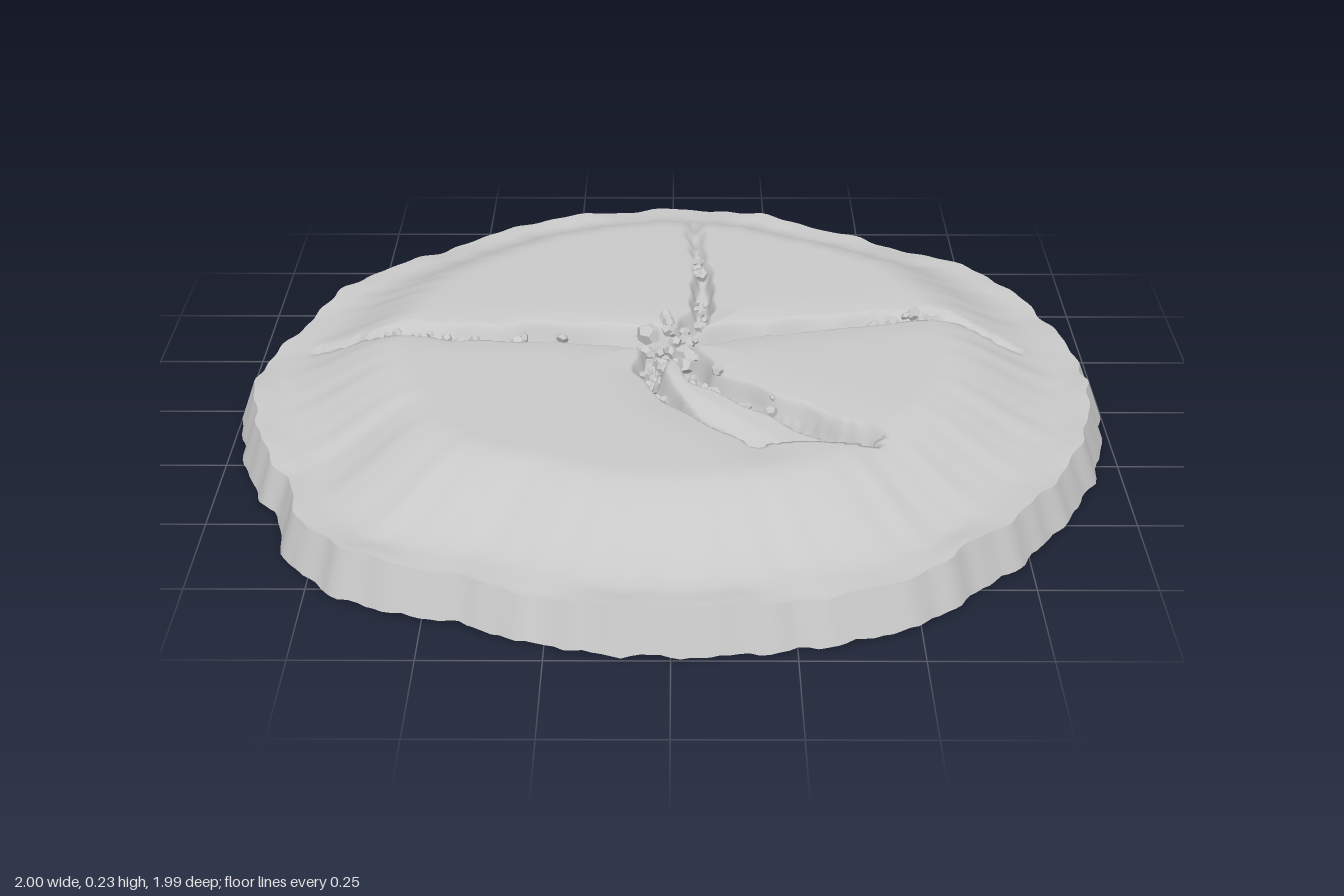
import * as THREE from 'three';
import { mergeGeometries } from 'three/addons/utils/BufferGeometryUtils.js';

const SEG = 320, RINGS = 115;
const { smoothstep, clamp, lerp } = THREE.MathUtils;

// Outline at ground level, as x, z points
const OUTLINE = [[0.99, 0.05], [0.95, 0.27], [0.83, 0.52], [0.64, 0.75], [0.5, 0.88], [0.1, 0.99], [-0.2, 0.97],
  [-0.4, 0.89], [-0.7, 0.77], [-0.81, 0.64], [-0.84, 0.5], [-0.93, 0.33], [-0.995, 0], [-0.91, -0.3],
  [-0.87, -0.42], [-0.59, -0.74], [-0.25, -0.93], [0, -0.995], [0.13, -0.98], [0.43, -0.83], [0.6, -0.73],
  [0.78, -0.61], [0.92, -0.36], [0.98, -0.15]]
  .map(([x, z]) => ({ a: (Math.atan2(z, x) + 2 * Math.PI) % (2 * Math.PI), r: Math.hypot(x, z) }))
  .sort((p, q) => p.a - q.a);

// Cracks: path in x, z; half width and depth from start to end
const CRACKS = [
  { path: [[0, 0], [-0.3, -0.035], [-0.5, -0.025], [-0.68, -0.055], [-0.84, -0.11]], w: [0.055, 0.014], d: [0.085, 0.02], stones: 34 },
  { path: [[0, 0], [0.2, -0.055], [0.45, -0.1], [0.65, -0.125], [0.82, -0.08]], w: [0.045, 0.014], d: [0.085, 0.02], stones: 28 },
  { path: [[0.02, 0], [0.075, -0.15], [0.07, -0.38], [0.05, -0.7]], w: [0.035, 0.012], d: [0.085, 0.015], stones: 24 },
  { path: [[-0.02, 0.02], [-0.05, 0.15], [0.0, 0.28], [0.18, 0.48]], w: [0.04, 0.018], d: [0.08, 0.06], stones: 26 },
  { path: [[0.01, 0.02], [0.07, 0.17], [0.2, 0.28], [0.43, 0.44]], w: [0.04, 0.016], d: [0.08, 0.05], stones: 26 },
];
// The broken slab between the two front cracks
const SLAB = [...CRACKS[3].path, [0.43, 0.485], ...CRACKS[4].path.slice().reverse()];

function seeded(seed) {
  return () => {
    seed = (seed * 1664525 + 1013904223) % 4294967296;
    return seed / 4294967296;
  };
}

function radiusAt(a) {
  const n = OUTLINE.length;
  let i = OUTLINE.findIndex((p) => p.a > a);
  if (i < 0) i = 0;
  const p = OUTLINE[(i + n - 1) % n], q = OUTLINE[i];
  const span = (q.a - p.a + 2 * Math.PI) % (2 * Math.PI);
  const t = ((a - p.a + 2 * Math.PI) % (2 * Math.PI)) / span;
  return lerp(p.r, q.r, t * t * (3 - 2 * t)) + 0.004 * Math.sin(37 * a + 2 * Math.sin(5 * a)) + 0.003 * Math.sin(61 * a);
}

// Distance to a crack and how far along it, from 0 to 1
function nearest(path, x, z) {
  let best = { dist: 9, t: 0 };
  for (let i = 0; i < path.length - 1; i++) {
    const [ax, az] = path[i], [bx, bz] = path[i + 1];
    const dx = bx - ax, dz = bz - az;
    const k = clamp(((x - ax) * dx + (z - az) * dz) / (dx * dx + dz * dz), 0, 1);
    const dist = Math.hypot(x - ax - dx * k, z - az - dz * k);
    if (dist < best.dist) best = { dist, t: (i + k) / (path.length - 1) };
  }
  return best;
}

function insideSlab(x, z) {
  let inside = false;
  SLAB.forEach(([ax, az], i) => {
    const [bx, bz] = SLAB[(i + 1) % SLAB.length];
    if ((az > z) !== (bz > z) && x < ((bx - ax) * (z - az)) / (bz - az) + ax) inside = !inside;
  });
  return inside;
}

function heightAt(x, z, f) {
  let y = 0.097 + 0.105 * (1 - smoothstep(f, 0.61, 0.92));
  y += 0.003 * Math.sin(7 * x + 3 * z) * Math.sin(6 * z - 2 * x) * smoothstep(f, 0.1, 0.5);
  if (insideSlab(x, z)) y -= 0.05 * smoothstep(z, 0.1, 0.5);
  const jag = 0.004 * Math.sin(41 * x + 17 * z) + 0.003 * Math.sin(67 * z - 29 * x);
  let dip = 0;
  for (const c of CRACKS) {
    const { dist, t } = nearest(c.path, x, z);
    const w = lerp(c.w[0], c.w[1], t), d = lerp(c.d[0], c.d[1], t);
    const cut = d * (1 - smoothstep(dist + jag, w * 0.3, w * 1.15));
    const sag = 0.18 * d * Math.exp(-((dist / 0.07) ** 2));
    dip = Math.max(dip, cut + sag * (1 - cut / d));
  }
  return y - dip;
}

// Closed loops of points joined into a skin
function loft(rows, cols, point) {
  const pos = [], index = [];
  for (let i = 0; i < rows; i++) {
    for (let j = 0; j < cols; j++) pos.push(...point(i, (j / cols) * Math.PI * 2));
  }
  for (let i = 0; i < rows - 1; i++) {
    for (let j = 0; j < cols; j++) {
      const k = (j + 1) % cols;
      const a = i * cols + j, b = i * cols + k, c = a + cols, d = b + cols;
      index.push(a, b, c, b, d, c);
    }
  }
  const g = new THREE.BufferGeometry();
  g.setAttribute('position', new THREE.Float32BufferAttribute(pos, 3));
  g.setIndex(index);
  g.computeVertexNormals();
  return g;
}

function topPoint(i, a) {
  const f = 0.001 + 0.964 * (i / (RINGS - 1));
  // Ease from a round centre to the uneven outline
  const r = f * lerp(1, radiusAt(a), smoothstep(f, 0, 0.9));
  const x = r * Math.cos(a), z = r * Math.sin(a);
  const rim = smoothstep(f, 0.9, 0.965) * (0.005 * Math.sin(9 * a) + 0.003 * Math.sin(23 * a));
  return [x, heightAt(x, z, f) + rim, z];
}

function wallPoint(i, a) {
  const [tx, ty, tz] = topPoint(RINGS - 1, a);
  const r = radiusAt(a), s = i / 4;
  const foot = 0.004 + 0.004 * Math.sin(80 * a) * Math.sin(33 * a);
  return [lerp(tx, r * Math.cos(a), s), lerp(ty, foot, s), lerp(tz, r * Math.sin(a), s)];
}

// One angular stone
function stone(x, y, z, size, rand) {
  const g = new THREE.DodecahedronGeometry(size, 0);
  g.scale(0.8 + 0.6 * rand(), 0.6 + 0.4 * rand(), 0.7 + 0.5 * rand());
  g.rotateX(rand() * 6).rotateY(rand() * 6);
  return g.translate(x, y, z);
}

function rubbleGeometry() {
  const rand = seeded(7), list = [];
  const add = (x, z, size, lift) => list.push(stone(x, heightAt(x, z, Math.hypot(x, z)) + lift, z, size, rand));
  for (const c of CRACKS) {
    const n = c.path.length - 1;
    for (let k = 0; k < c.stones; k++) {
      const t = 0.72 * Math.pow(rand(), 1.2) * n;
      const i = Math.floor(t), [ax, az] = c.path[i], [bx, bz] = c.path[i + 1];
      const spread = lerp(c.w[0], c.w[1], t / n) * 1.3;
      add(lerp(ax, bx, t - i) + (rand() - 0.5) * spread, lerp(az, bz, t - i) + (rand() - 0.5) * spread,
        0.008 + 0.011 * rand(), 0.012 + 0.012 * rand());
    }
  }
  // Heap at the meeting point of the cracks
  for (let k = 0; k < 34; k++) {
    const a = rand() * 6.28, r = 0.09 * Math.sqrt(rand());
    add(r * Math.cos(a) - 0.01, r * Math.sin(a), 0.012 + 0.014 * rand(), 0.018 + 0.012 * rand());
  }
  // Larger single stones
  for (const [x, z] of [[-0.49, -0.02], [0.47, -0.097], [0.07, -0.38], [0.28, -0.075], [0.15, 0.24]]) add(x, z, 0.024, 0.012);
  return mergeGeometries(list);
}

export function createModel() {
  const group = new THREE.Group();
  group.name = 'crackedGround';
  const rock = new THREE.MeshStandardMaterial({ color: 0xc8c8c8, side: THREE.DoubleSide });
  rock.name = 'grey rock';
  const add = (name, geometry) => {
    const mesh = new THREE.Mesh(geometry, rock);
    mesh.name = name;
    group.add(mesh);
  };
  add('crackedTop', loft(RINGS, SEG, topPoint));
  add('rimWall', loft(5, SEG, wallPoint));
  add('rubble', rubbleGeometry());
  return group;
}
